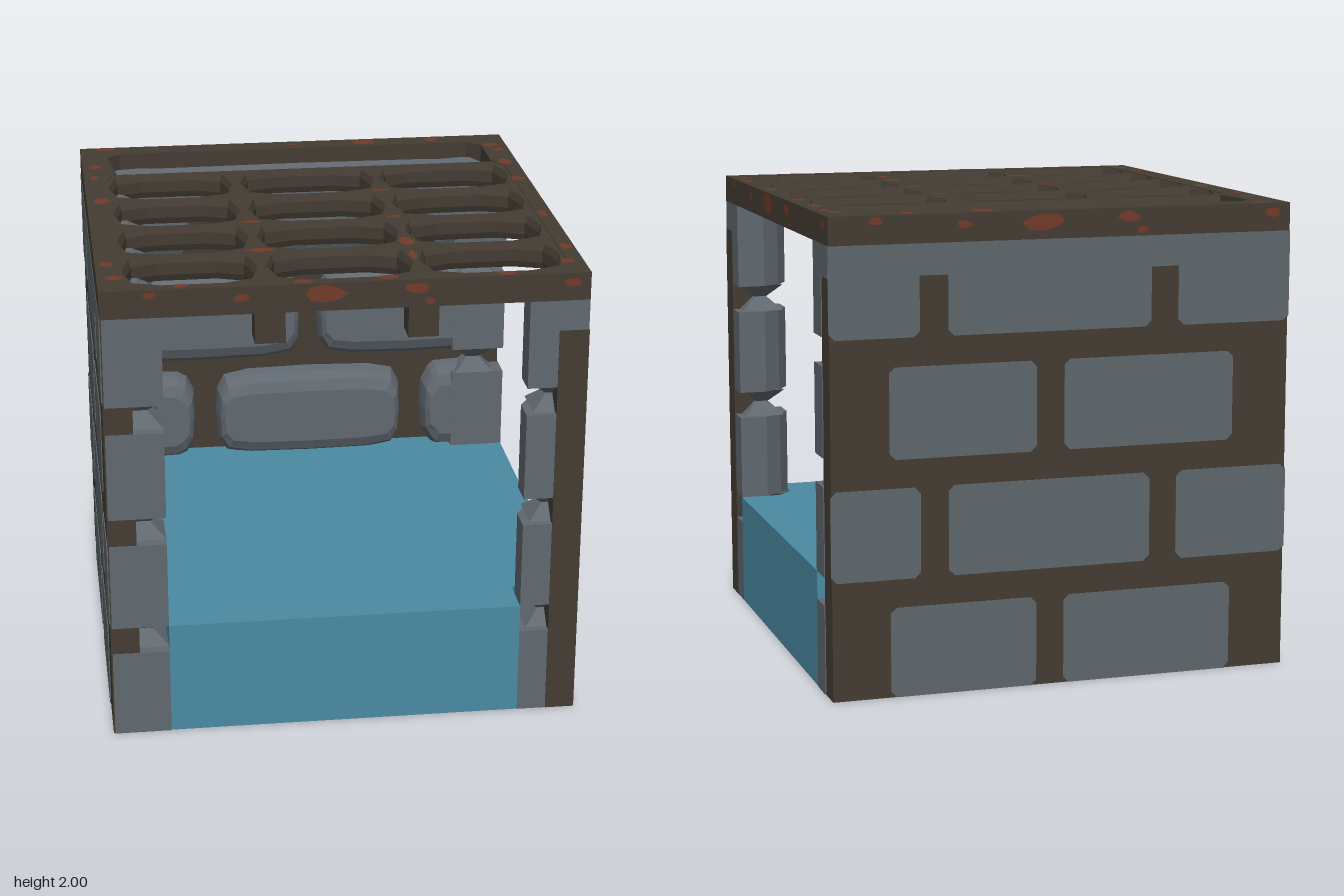
import * as THREE from 'three';

const mat = (name, color) => Object.assign(new THREE.MeshStandardMaterial({ color }), { name });

export function createModel() {
  const root = new THREE.Group();
  root.name = 'brickCellWithGrate';
  const stone = mat('stone', 0x60686f);
  const outerStone = mat('outerStone', 0x5e676a);
  const mortar = mat('mortar', 0x443c33);
  const water = mat('water', 0x4b8aa3);
  const rust = mat('rust', 0x733a29);

  const add = (parent, name, geo, m, x = 0, y = 0, z = 0) => {
    const mesh = new THREE.Mesh(geo, m);
    mesh.name = name;
    mesh.position.set(x, y, z);
    parent.add(mesh);
    return mesh;
  };
  // box given by its minimum and maximum corners
  const block = (parent, name, m, [x0, y0, z0], [x1, y1, z1]) =>
    add(parent, name, new THREE.BoxGeometry(x1 - x0, y1 - y0, z1 - z0), m, (x0 + x1) / 2, (y0 + y1) / 2, (z0 + z1) / 2);
  const poly = pts => new THREE.Shape(pts.map(([x, y]) => new THREE.Vector2(x, y)));
  // horizontal slab: plan points are (x, z); holes wind against the outline
  const slab = (pts, holes, depth, bevel) => {
    const s = poly(pts.map(([x, z]) => [x, -z]));
    s.holes = holes.map(h => poly(h.map(([x, z]) => [x, -z]).reverse()));
    return new THREE.ExtrudeGeometry(s, { depth, bevelEnabled: !!bevel, bevelSegments: 1, ...bevel }).rotateX(-Math.PI / 2);
  };

  // bulging faceted brick, flat at the back, lofted from shrinking barrel outlines
  function brickGeometry(w, h, bulge) {
    const quarter = (a, b) => [[a, 0], [a - 0.006, b * 0.55], [a - 0.04, b * 0.86], [a * 0.65, b * 0.97], [0, b]];
    const outline = (ix, iy) => {
      const q = quarter(w / 2 - ix, h / 2 - iy);
      const back = q.slice(1, 4).reverse();
      return [...q, ...back.map(([x, y]) => [-x, y]), [-q[0][0], 0],
        ...q.slice(1, 4).map(([x, y]) => [-x, -y]), [0, -q[4][1]], ...back.map(([x, y]) => [x, -y])];
    };
    // inset along the run, inset in height, share of the bulge
    const layers = [[0, 0, 0], [0.006, 0.01, 0.45], [0.016, 0.04, 0.82], [0.035, 0.09, 1]];
    const pos = [], idx = [], n = 16;
    layers.forEach(([ix, iy, d]) => outline(ix, iy).forEach(([x, y]) => pos.push(x, y, d * bulge)));
    for (let l = 0; l < 3; l++) {
      for (let i = 0; i < n; i++) {
        const a = l * n + i, b = l * n + (i + 1) % n;
        idx.push(a, b, b + n, a, b + n, a + n);
      }
    }
    pos.push(0, 0, bulge);
    for (let i = 0; i < n; i++) idx.push(3 * n + i, 3 * n + (i + 1) % n, 4 * n);
    const g = new THREE.BufferGeometry();
    g.setAttribute('position', new THREE.Float32BufferAttribute(pos, 3));
    g.setIndex(idx);
    const flat = g.toNonIndexed();
    flat.computeVertexNormals();
    return flat;
  }

  // thin outside brick face with rounded corners
  function plateGeometry(w, h) {
    const a = w / 2, b = h / 2, c = 0.025;
    const s = poly([[-a + c, -b], [a - c, -b], [a, -b + c], [a, b - c], [a - c, b], [-a + c, b], [-a, b - c], [-a, -b + c]]);
    return new THREE.ExtrudeGeometry(s, { depth: 0.005, bevelEnabled: false });
  }

  const courses = [1.5, 1, 0.5, 0];
  // wall along x at z = -1; flip reverses the run of the bricks
  function makeWall(name, flip) {
    const wall = new THREE.Group();
    wall.name = name;
    block(wall, 'mortarPanel', mortar, [-0.996, 0, -0.996], [0.996, 1.89, -0.875]);
    courses.forEach((y, r) => {
      const long = r % 2 === 0;
      const inner = long ? [[-0.97, -0.49], [-0.39, 0.51], [0.61, 0.98]] : [[-0.97, 0.02], [0.1, 0.97]];
      const outer = long ? [[-1, -0.5], [-0.38, 0.5], [0.62, 1]] : [[-0.75, 0], [0.12, 0.75]];
      const y0 = r === 3 ? 0 : y - 0.03, y1 = r === 0 ? 1.93 : y + 0.41;
      inner.forEach(([a, b]) =>
        add(wall, 'innerBrick', brickGeometry(b - a, y1 - y0, 0.125), stone, flip * (a + b) / 2, (y0 + y1) / 2, -0.876));
      outer.forEach(([a, b]) =>
        add(wall, 'outerBrickFace', plateGeometry(b - a, 0.38), outerStone, flip * (a + b) / 2, y + 0.19, -1));
    });
    // continuous top course above the joints
    add(wall, 'topCourse', brickGeometry(1.86, 0.22, 0.118), stone, 0, 1.82, -0.876);
    block(wall, 'topCourseFace', outerStone, [-1, 1.75, -1], [1, 1.88, -0.995]);
    root.add(wall);
    return wall;
  }
  makeWall('backWall', 1);
  makeWall('sideWall', -1).rotation.y = Math.PI / 2;

  // toothed ends of the two walls
  courses.forEach(y => {
    block(root, 'backWallEndBrick', stone, [0.75, y, -0.88], [1, y + 0.38, -0.75]);
    block(root, 'sideWallEndBrick', stone, [-0.99, y, 0.75], [-0.75, y + 0.38, 1]);
  });
  block(root, 'sideWallEndMortar', mortar, [-0.992, 0.01, 0.9], [-0.875, 1.88, 0.997]);
  block(root, 'backWallEndTop', stone, [0.9, 1.75, -0.99], [1, 1.88, -0.87]);

  // corner post with protruding bricks, chamfered on the inner corner
  block(root, 'cornerPost', mortar, [0.875, 0, 0.875], [1, 1.75, 1]);
  const P = 0.998;
  const postBrick = slab([[0.75, 0.875], [0.8, 0.8], [0.875, 0.75], [P, 0.75], [P, P], [0.75, P]], [], 0.38);
  courses.forEach(y => add(root, 'postBrick', postBrick, stone, 0, y, 0));

  // sloped brick shoulders inside the gaps of the toothed corners
  const shoulder = new THREE.CylinderGeometry(0.04, 0.13, 0.06, 4).rotateY(Math.PI / 4).toNonIndexed();
  shoulder.computeVertexNormals();
  for (const [x, z] of [[0.875, 0.875], [0.86, -0.84], [-0.84, 0.86]]) {
    for (const y of [0.38, 0.88, 1.38]) {
      add(root, 'lowerShoulder', shoulder, stone, x, y + 0.03, z);
      add(root, 'upperShoulder', shoulder, stone, x, y + 0.09, z).rotation.x = Math.PI;
    }
  }

  // water body
  add(root, 'water', slab([[-0.75, 0.999], [0.75, 0.999], [0.75, 0.82], [0.82, 0.75], [0.999, 0.75], [0.999, -0.75],
    [0.75, -0.75], [0.75, -0.87], [-0.87, -0.87], [-0.87, 0.75], [-0.75, 0.75]], [], 0.498), water, 0, 0.002, 0);

  // grate: outer frame
  const F = 0.998;
  add(root, 'grateFrame', slab([[-F, -F], [F, -F], [F, F], [-F, F]],
    [[[-0.82, -0.89], [0.82, -0.89], [0.88, -0.83], [0.88, -0.6], [0.93, -0.5], [0.93, 0.9], [0.89, 0.945],
      [-0.84, 0.945], [-0.89, 0.9], [-0.89, -0.5], [-0.85, -0.6], [-0.88, -0.83]]], 0.118), mortar, 0, 1.88, 0);

  // grate: chamfered lattice with barrel-shaped openings
  const openings = [];
  for (const z of [-0.38, 0, 0.375, 0.755]) {
    for (const [x, a] of [[-0.615, 0.278], [0, 0.303], [0.625, 0.295]]) {
      const b = 0.183;
      openings.push([[a, 0], [a - 0.035, 0.14], [a * 0.45, b], [-a * 0.45, b], [-a + 0.035, 0.14],
        [-a, 0], [-a + 0.035, -0.14], [-a * 0.45, -b], [a * 0.45, -b], [a - 0.035, -0.14]].map(([p, q]) => [x + p, z + q]));
    }
  }
  add(root, 'grateLattice', slab([[-0.94, -0.575], [0.95, -0.575], [0.95, 0.955], [-0.94, 0.955]], openings, 0.05,
    { bevelSize: 0.013, bevelThickness: 0.03 }), mortar, 0, 1.915, 0);

  // grate: scalloped long bars, their rear ends and front tabs
  const under = [[0.95, 1.9], [-0.8, 1.9], [-0.8, 1.82]];
  for (const z of [-0.57, -0.19, 0.19, 0.56]) under.push([z - 0.1, 1.835], [z, 1.815], [z + 0.1, 1.835]);
  under.push([0.95, 1.825]);
  const barGeo = new THREE.ExtrudeGeometry(poly(under), { depth: 0.05, bevelEnabled: false })
    .translate(0, 0, -0.025).rotateY(-Math.PI / 2);
  for (const x of [-0.3125, 0.3125]) {
    add(root, 'longBar', barGeo, mortar, x, 0, 0);
    block(root, 'barRearEnd', mortar, [x - 0.055, 1.82, -0.8], [x + 0.055, 1.9, -0.58]);
    block(root, 'barFrontTab', mortar, [x - 0.0625, 1.75, 0.875], [x + 0.0625, 1.89, 0.998]);
  }

  // rust patches
  let seed = 7;
  const rnd = () => (seed = (seed * 16807) % 2147483647) / 2147483647;
  const patch = (rx, ry) => {
    const pts = [];
    for (let i = 0; i < 8; i++) {
      const t = i * Math.PI / 4, k = 0.75 + 0.4 * rnd();
      pts.push([Math.cos(t) * rx * k, Math.sin(t) * ry * k]);
    }
    return new THREE.ShapeGeometry(poly(pts));
  };
  const topSpots = [[-0.88, -0.965, 0.05, 0.022], [-0.94, -0.69, 0.03, 0.03], [0.34, -0.945, 0.055, 0.045], [0.66, -0.95, 0.03, 0.035],
    [0.92, -0.83, 0.04, 0.03], [0.95, -0.75, 0.025, 0.03], [-0.93, -0.18, 0.035, 0.05], [-0.95, -0.53, 0.02, 0.03],
    [-0.95, 0.67, 0.03, 0.03], [-0.93, 0.84, 0.035, 0.03], [-0.67, 0.965, 0.03, 0.025], [-0.18, 0.97, 0.04, 0.022],
    [0.17, 0.965, 0.04, 0.025], [0.66, 0.97, 0.05, 0.022], [0.96, 0.67, 0.025, 0.045], [0.93, 0.85, 0.03, 0.03],
    [0.955, 0.22, 0.025, 0.04], [0.95, -0.29, 0.035, 0.03], [0.94, -0.55, 0.03, 0.04], [0, -0.95, 0.02, 0.015],
    [0.31, 0.52, 0.035, 0.05], [-0.31, 0.565, 0.065, 0.025], [0.31, 0.7, 0.017, 0.06], [-0.31, 0.19, 0.05, 0.018],
    [0.31, -0.19, 0.04, 0.016], [0.31, 0.19, 0.03, 0.016]];
  topSpots.forEach(([x, z, rx, rz]) => add(root, 'rustPatch', patch(rx, rz).rotateX(-Math.PI / 2), rust, x, 2, z));
  const sideSpots = [[-0.8, 1.975, 0.03, 0.018], [-0.43, 1.95, 0.035, 0.02], [-0.09, 1.95, 0.085, 0.042],
    [0.28, 1.96, 0.05, 0.025], [0.34, 1.905, 0.025, 0.015], [0.92, 1.96, 0.04, 0.022]];
  for (let side = 0; side < 4; side++) {
    const face = new THREE.Group();
    face.name = 'frameSideRust';
    face.rotation.y = side * Math.PI / 2;
    sideSpots.forEach(([x, y, rx, ry]) => add(face, 'rustPatch', patch(rx, ry), rust, x, y, 1));
    root.add(face);
  }
  return root;
}
